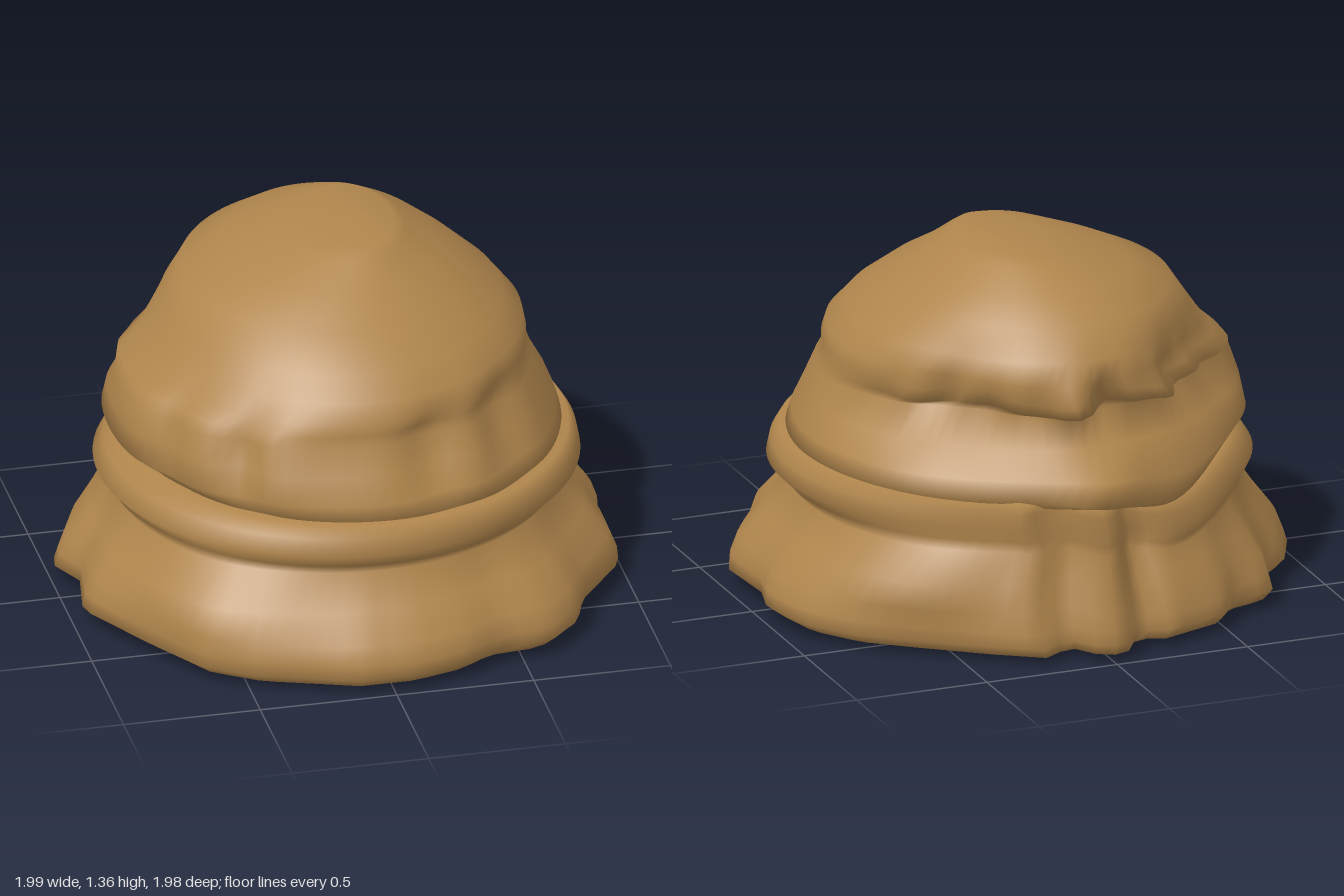
import * as THREE from 'three';

// Signed angle wrapped to -PI..PI
const wrap = (a) => Math.atan2(Math.sin(a), Math.cos(a));
// Bell-shaped bump around angle c, of width w
const bell = (t, c, w) => Math.exp(-((wrap(t - c) / w) ** 2));
// Bell-shaped bump around height c
const band = (y, c, w) => Math.exp(-(((y - c) / w) ** 2));

const SEGMENTS = 96;

// Ragged outline of the brim in plan, as x, z, counter-clockwise from the front
const RIM = [
  [0.08, 0.98], [0.27, 0.93], [0.4, 0.85], [0.6, 0.83], [0.73, 0.7], [0.78, 0.55], [0.98, 0.29],
  [0.96, 0], [1, -0.15], [0.95, -0.36], [0.83, -0.53], [0.65, -0.67], [0.43, -0.83], [0.25, -0.94],
  [0.13, -0.87], [0.04, -1], [-0.05, -1], [-0.14, -0.87], [-0.24, -0.91], [-0.5, -0.82],
  [-0.57, -0.71], [-0.74, -0.66], [-0.78, -0.47], [-0.9, -0.37], [-1, -0.15], [-0.93, 0],
  [-0.97, 0.22], [-0.8, 0.52], [-0.65, 0.75], [-0.48, 0.86], [-0.13, 0.98],
];

// Distance from the axis to the outline in direction t
function rimRadius(t) {
  const dx = Math.sin(t), dz = Math.cos(t);
  for (let i = 0; i < RIM.length; i++) {
    const [ax, az] = RIM[i], [bx, bz] = RIM[(i + 1) % RIM.length];
    const sa = dx * az - dz * ax, sb = dx * bz - dz * bx;
    if (sa >= 0 && sb < 0 && ax * dx + az * dz > 0) {
      const k = sa / (sa - sb);
      return Math.hypot(ax + k * (bx - ax), az + k * (bz - az));
    }
  }
  return 0.97;
}

// Skins a stack of rings. Each row: [y, reach +x, reach -x, reach +z, reach -z].
// fold(angle, y, row) gives { r, y } offsets for the cloth wrinkles.
function skinRings(rows, fold) {
  const pos = [], index = [];
  rows.forEach(([y, xp, xm, zf, zb], j) => {
    const cx = (xp - xm) / 2, hx = (xp + xm) / 2;
    const cz = (zf - zb) / 2, hz = (zf + zb) / 2;
    for (let i = 0; i < SEGMENTS; i++) {
      const t = (i / SEGMENTS) * Math.PI * 2;
      const f = hx > 0.01 ? fold(t, y, j) : { r: 0, y: 0 };
      pos.push(cx + (hx + f.r) * Math.sin(t), y + f.y, cz + (hz + f.r) * Math.cos(t));
      if (j === rows.length - 1) continue;
      const a = j * SEGMENTS + i, b = j * SEGMENTS + (i + 1) % SEGMENTS;
      index.push(a, b, b + SEGMENTS, a, b + SEGMENTS, a + SEGMENTS);
    }
  });
  const g = new THREE.BufferGeometry();
  g.setAttribute('position', new THREE.Float32BufferAttribute(pos, 3));
  g.setIndex(index);
  g.computeVertexNormals();
  return g;
}

// The band dips towards the gather on one side of the back
const dip = (t) => -0.09 * bell(t, Math.PI + 0.42, 0.32);

export function createModel() {
  const model = new THREE.Group();
  const cloth = new THREE.MeshStandardMaterial({ color: 0xb0854c, side: THREE.DoubleSide });
  cloth.name = 'tan cloth';
  const add = (name, geometry) => {
    const mesh = new THREE.Mesh(geometry, cloth);
    mesh.name = name;
    model.add(mesh);
  };

  // Flared brim, pinched waist and rolled band, gathered at the back
  const brimRows = [
    [0.015, 0, 0, 0, 0],
    [0.005, 0.5, 0.5, 0.6, 0.5],
    [0.015, 0.78, 0.78, 0.78, 0.78],
    [0.035, 0.92, 0.92, 0.95, 0.95],
    [0.07, 0.97, 0.97, 0.98, 0.96],
    [0.12, 0.97, 0.96, 0.98, 0.95],
    [0.19, 0.95, 0.94, 0.96, 0.92],
    [0.29, 0.88, 0.87, 0.88, 0.88],
    [0.4, 0.8, 0.8, 0.79, 0.84],
    [0.44, 0.83, 0.82, 0.82, 0.84],
    [0.49, 0.88, 0.86, 0.85, 0.84],
    [0.55, 0.87, 0.82, 0.83, 0.84],
    [0.595, 0.84, 0.77, 0.81, 0.83],
    [0.59, 0.68, 0.68, 0.68, 0.68],
  ];
  add('brim', skinRings(brimRows, (t, y, j) => {
    if (j < 3 || j === brimRows.length - 1) return { r: 0, y: 0 };
    const low = Math.min(1, Math.max(0, (0.42 - y) / 0.35));
    const ragged = low * (rimRadius(t) - 0.97);
    const gather = 0.09 * bell(t, Math.PI, 0.11)
      - 0.07 * bell(t, Math.PI + 0.19, 0.08) - 0.05 * bell(t, Math.PI - 0.18, 0.07)
      + 0.04 * bell(t, Math.PI - 0.3, 0.07);
    // Fuller, steeper wall on two opposite corners
    const bulge = 0.075 * band(y, 0.29, 0.1) * (bell(t, Math.PI * 0.75, 0.36) + bell(t, -Math.PI / 4, 0.36));
    return { r: ragged + (1 - low) * gather + bulge, y: Math.min(1, Math.max(0, (y - 0.25) / 0.2)) * dip(t) };
  }));

  // Puffed crown, overhanging a sloped hollow at the back
  const crownRows = [
    [0.54, 0.74, 0.7, 0.74, 0.78],
    [0.6, 0.82, 0.74, 0.79, 0.87],
    [0.66, 0.8, 0.82, 0.79, 0.84],
    [0.75, 0.76, 0.81, 0.74, 0.77],
    [0.85, 0.71, 0.79, 0.7, 0.69],
    [0.89, 0.7, 0.76, 0.69, 0.81],
    [0.94, 0.7, 0.7, 0.69, 0.82],
    [1.0, 0.69, 0.65, 0.65, 0.81],
    [1.08, 0.62, 0.59, 0.58, 0.78],
    [1.18, 0.5, 0.52, 0.45, 0.68],
    [1.26, 0.39, 0.36, 0.3, 0.57],
    [1.33, 0.28, 0.17, 0.19, 0.43],
    [1.355, 0.24, 0.04, 0.13, 0.36],
    [1.36, 0.12, -0.12, -0.12, 0.12],
  ];
  add('crown', skinRings(crownRows, (t, y) => {
    const back = Math.max(0, -Math.cos(t));
    const mid = band(y, 0.78, 0.13);
    const edge = band(y, 0.92, 0.06);
    const hem = band(y, 0.6, 0.08);
    // Front folds: two dents with a ridge between, and one pinch on the other side
    const front = -0.05 * bell(t, 0.3, 0.13) + 0.03 * bell(t, 0.52, 0.1) - 0.045 * bell(t, 0.78, 0.13)
      - 0.06 * bell(t, -0.62, 0.1) - 0.04 * bell(t, -1.05, 0.1);
    // The crown is drawn in at both back corners
    const corners = -0.1 * band(y, 0.92, 0.16)
      * (bell(t, Math.PI + 0.75, 0.42) + bell(t, Math.PI - 0.78, 0.42));
    const ragged = back * edge * 0.022 * (Math.sin(13 * t) + Math.sin(21 * t + 1));
    const spike = hem * 0.09 * bell(t, Math.PI, 0.18);
    const notch = -edge * 0.07 * bell(t, Math.PI + 0.06, 0.09);
    return {
      r: mid * (front + 0.008 * Math.sin(9 * t)) + corners + ragged + spike + notch,
      y: back * edge * 0.025 * Math.sin(8 * t + 0.5) + hem * dip(t),
    };
  }));

  return model;
}
